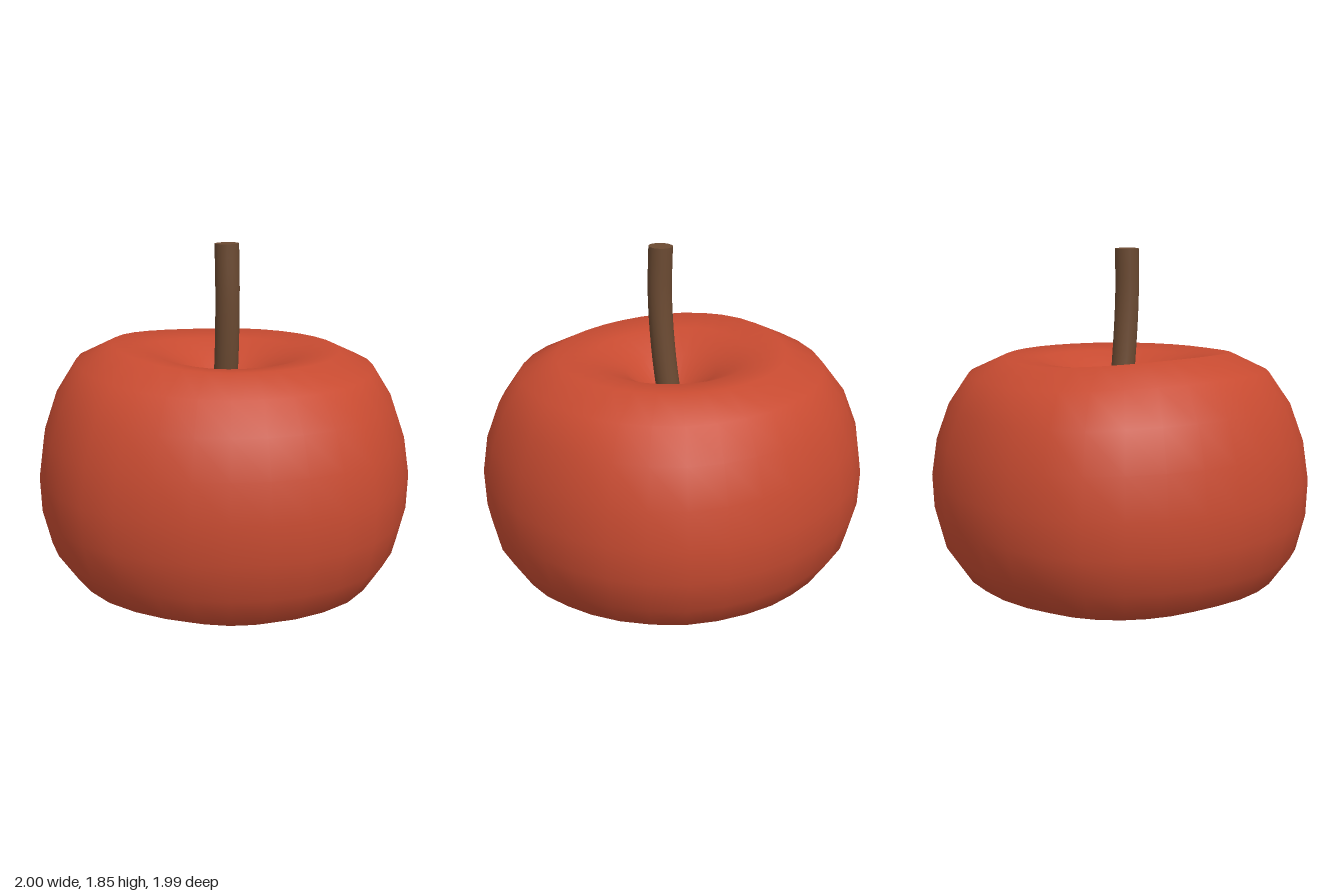
import * as THREE from 'three';
import { mergeVertices } from 'three/addons/utils/BufferGeometryUtils.js';

// Outline radius every 22.5 degrees, from +x towards +z
const OUTLINE = [1, 0.973, 0.976, 1.007, 0.986, 0.975, 0.987, 1.015,
  1, 0.994, 1.011, 1.04, 1, 0.966, 0.977, 1.01];

// Cross-section from the bottom hollow to the top hollow: radius, height
const PROFILE = [[0, 0.19], [0.11, 0.165], [0.24, 0.1], [0.43, 0.03], [0.64, 0], [0.84, 0.09],
  [0.945, 0.25], [0.992, 0.45], [1, 0.65], [0.97, 0.85], [0.9, 1.04], [0.79, 1.2],
  [0.6, 1.29], [0.42, 1.27], [0.24, 1.19], [0.1, 1.06], [0, 0.99]];

function outlineAt(angle) {
  const t = ((angle / (Math.PI * 2) + 1) % 1) * 16;
  const i = Math.floor(t);
  return THREE.MathUtils.lerp(OUTLINE[i % 16], OUTLINE[(i + 1) % 16], t - i);
}

// Turned fruit body, then made slightly lopsided
function fruitGeometry() {
  const lathe = new THREE.LatheGeometry(PROFILE.map(([r, y]) => new THREE.Vector2(r, y)), 32);
  lathe.deleteAttribute('uv');
  lathe.deleteAttribute('normal');
  const pos = lathe.attributes.position;
  for (let i = 0; i < pos.count; i++) {
    const x = pos.getX(i), y = pos.getY(i), z = pos.getZ(i);
    const r = Math.hypot(x, z), a = Math.atan2(z, x);
    const spread = THREE.MathUtils.smoothstep(r, 0.6, 0.97);
    const k = 1 + (outlineAt(a) - 1) * spread;
    const topLift = 0.045 * Math.max(0, Math.cos(a - 3.46)) ** 2;
    const bottomLift = 0.04 + 0.015 * Math.cos(a) - 0.025 * Math.sin(a) + 0.015 * Math.cos(2 * a);
    const up = THREE.MathUtils.clamp((y - 0.65) / 0.6, -1, 1);
    const lift = (up > 0 ? topLift * up : -bottomLift * up) * Math.min(1, r / 0.6);
    pos.setXYZ(i, x * k, y + lift, z * k);
  }
  const geometry = mergeVertices(lathe, 1e-4);
  geometry.computeVertexNormals();
  return geometry;
}

export function createModel() {
  const red = new THREE.MeshStandardMaterial({ color: 0xc84b31 });
  red.name = 'fruit red';
  const brown = new THREE.MeshStandardMaterial({ color: 0x6b4a32 });
  brown.name = 'stem brown';

  const model = new THREE.Group();
  model.name = 'apple';

  const body = new THREE.Mesh(fruitGeometry(), red);
  body.name = 'fruitBody';
  model.add(body);

  // Curved stem with a flat cut end
  const stem = new THREE.Group();
  stem.name = 'stem';
  const path = new THREE.CatmullRomCurve3([
    new THREE.Vector3(-0.01, 0.96, 0), new THREE.Vector3(-0.015, 1.3, 0.045),
    new THREE.Vector3(-0.02, 1.6, 0.065), new THREE.Vector3(-0.022, 1.85, 0.06),
  ]);
  const shaft = new THREE.Mesh(new THREE.TubeGeometry(path, 12, 0.063, 16), brown);
  shaft.name = 'stemShaft';
  const cut = new THREE.Mesh(new THREE.CircleGeometry(0.063, 16), brown);
  cut.name = 'stemCutEnd';
  cut.position.copy(path.getPoint(1));
  cut.lookAt(path.getPoint(1).add(path.getTangent(1)));
  stem.add(shaft, cut);
  model.add(stem);

  return model;
}
